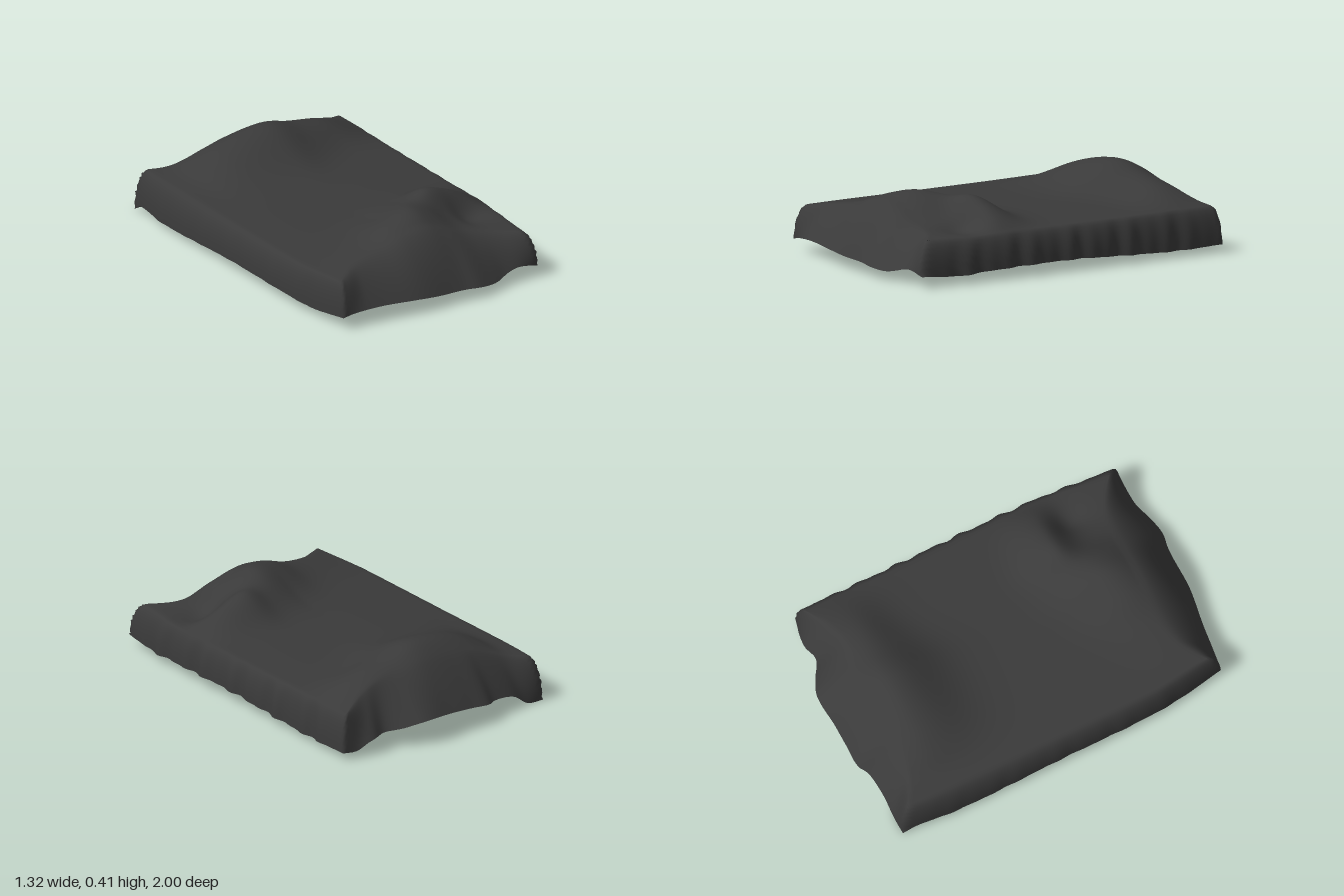
import * as THREE from 'three';

// smooth curve through [position, value] pairs
function curve(...pairs) {
  const c = new THREE.CubicInterpolant(pairs.map((p) => p[0]), pairs.map((p) => p[1]), 1);
  return (t) => c.evaluate(t)[0];
}
const { smoothstep: smooth, lerp } = THREE.MathUtils;

// ridge heights across the width
const frontRidge = curve([-0.62, 0], [-0.5, 0.01], [-0.25, 0.045], [-0.1, 0.1], [0.05, 0.13], [0.15, 0.105], [0.3, 0.03], [0.45, 0], [0.62, 0]);
const sideRidge = curve([-0.05, 0], [0.15, 0.035], [0.28, 0.1], [0.4, 0.09], [0.5, 0.055], [0.6, 0]);
const backRidge = curve([-0.62, 0], [-0.5, 0.015], [-0.4, 0.06], [-0.3, 0.1], [-0.05, 0.15], [0.05, 0.15], [0.2, 0.11], [0.4, 0.07], [0.6, 0]);

// bell with a different spread on each side of its middle
function bell(t, middle, spreadBelow, spreadAbove) {
  const d = (t - middle) / (t < middle ? spreadBelow : spreadAbove);
  return Math.exp(-d * d / 2);
}

// height of the draped top
function topHeight(x, z) {
  return 0.235 + 0.022 * (1 - (x / 0.6) ** 2)
    + frontRidge(x) * bell(z, 0.61 - 0.3 * x, 0.15, 0.16)
    + sideRidge(x) * bell(z, 0.4, 0.11, 0.08)
    + backRidge(x) * bell(z, -0.66 - 0.06 * x, 0.14, 0.18 - 0.06 * smooth(x, 0, 0.4))
    - 0.03 * bell(x, 0.42, 0.05, 0.08) * bell(z, 0.55, 0.06, 0.08);
}

// uneven hem: depth and height along the ends, width and height along the sides
const frontZ = curve([-1, 0.925], [-0.9, 0.932], [-0.58, 0.95], [-0.2, 0.98], [0.2, 0.98], [0.35, 0.992], [0.53, 0.97], [0.68, 0.937], [1, 0.93]);
const frontY = curve([-1, 0.065], [-0.9, 0.078], [-0.3, 0.08], [0, 0.068], [0.3, 0.062], [0.55, 0.05], [0.8, 0.08], [1, 0.06]);
const backZ = curve([-1, -0.92], [-0.6, -0.935], [-0.45, -0.953], [-0.39, -0.977], [-0.2, -0.985], [0, -0.99], [0.3, -1], [0.43, -0.965], [0.59, -0.91], [0.73, -0.93], [1, -0.897]);
const backY = curve([-1, 0], [-0.83, 0.012], [-0.7, 0.07], [-0.4, 0.1], [0, 0.125], [0.3, 0.13], [0.5, 0.1], [0.77, 0.075], [0.88, 0.04], [1, 0.04]);
const leftX = curve([-1, 0.645], [-0.5, 0.645], [0, 0.648], [0.5, 0.645], [1, 0.615]);
const leftY = curve([-1, 0.04], [-0.7, 0.035], [-0.35, 0.045], [0, 0.06], [0.55, 0.055], [0.75, 0.045], [1, 0.06]);
const rightX = curve([-1, -0.638], [-0.8, -0.658], [0, -0.658], [0.6, -0.645], [0.8, -0.62], [1, -0.59]);
const rightY = curve([-1, 0], [-0.92, 0.045], [-0.7, 0.04], [0, 0.06], [0.55, 0.055], [0.75, 0.047], [1, 0.065]);

function hem(u, v) {
  if (v >= 1) return [u < 0 ? u * 0.59 : u * 0.615, frontY(u), frontZ(u)];
  if (v <= -1) return [u < 0 ? u * 0.638 : u * 0.645, backY(u), backZ(u)];
  const ripple = (0.006 * Math.sin(v * 29) + 0.005 * Math.sin(v * 47)) * (1 - v ** 6);
  return u > 0
    ? [leftX(v) + ripple, leftY(v), v > 0 ? v * 0.93 : v * 0.897]
    : [rightX(v) + ripple * 0.2, rightY(v), v > 0 ? v * 0.925 : v * 0.92];
}

// rim where the top turns down into the skirt, set further in mid-end
const rimX = (u, v) => u * (0.59 - 0.03 * smooth(v, 0.6, 1));
const rimZ = (u, v) => v * (0.86 - (v > 0 ? 0.14 : 0.1) * (1 - u ** 4));

const RIM = 0.8;

function drape(a, b) {
  const m = Math.max(Math.abs(a), Math.abs(b));
  if (m <= RIM + 1e-6) {
    const x = rimX(a / RIM, b / RIM), z = rimZ(a / RIM, b / RIM);
    return [x, topHeight(x, z), z];
  }
  // skirt: rounded on the sides, a long slope at the ends
  const snap = (t) => (Math.abs(t) > 1 - 1e-6 ? Math.sign(t) : t);
  const u = snap(a / m), v = snap(b / m);
  const k = (m - RIM) / (1 - RIM);
  const [hx, hy, hz] = hem(u, v);
  const x = rimX(u, v), z = rimZ(u, v), y = topHeight(x, z);
  const side = smooth(Math.abs(u), 0.75, 1);
  const out = lerp(k, Math.sin(k * Math.PI / 2), side);
  const drop = lerp(k ** (v > 0 ? 1.7 : 1.25), 1 - Math.cos(k * Math.PI / 2), side);
  return [x + (hx - x) * out, y + (hy - y) * drop, z + (hz - z) * out];
}

export function createModel() {
  const group = new THREE.Group();
  group.name = 'drapedCover';

  // one open sheet, shaped from a flat grid
  const sheet = new THREE.PlaneGeometry(2, 2, 70, 100).rotateX(-Math.PI / 2);
  const p = sheet.attributes.position;
  for (let i = 0; i < p.count; i++) p.setXYZ(i, ...drape(p.getX(i), p.getZ(i)));
  sheet.computeVertexNormals();

  const cloth = new THREE.Mesh(sheet, new THREE.MeshStandardMaterial({ color: 0x3a3a3a, side: THREE.DoubleSide }));
  cloth.name = 'clothSheet';
  group.add(cloth);
  return group;
}
